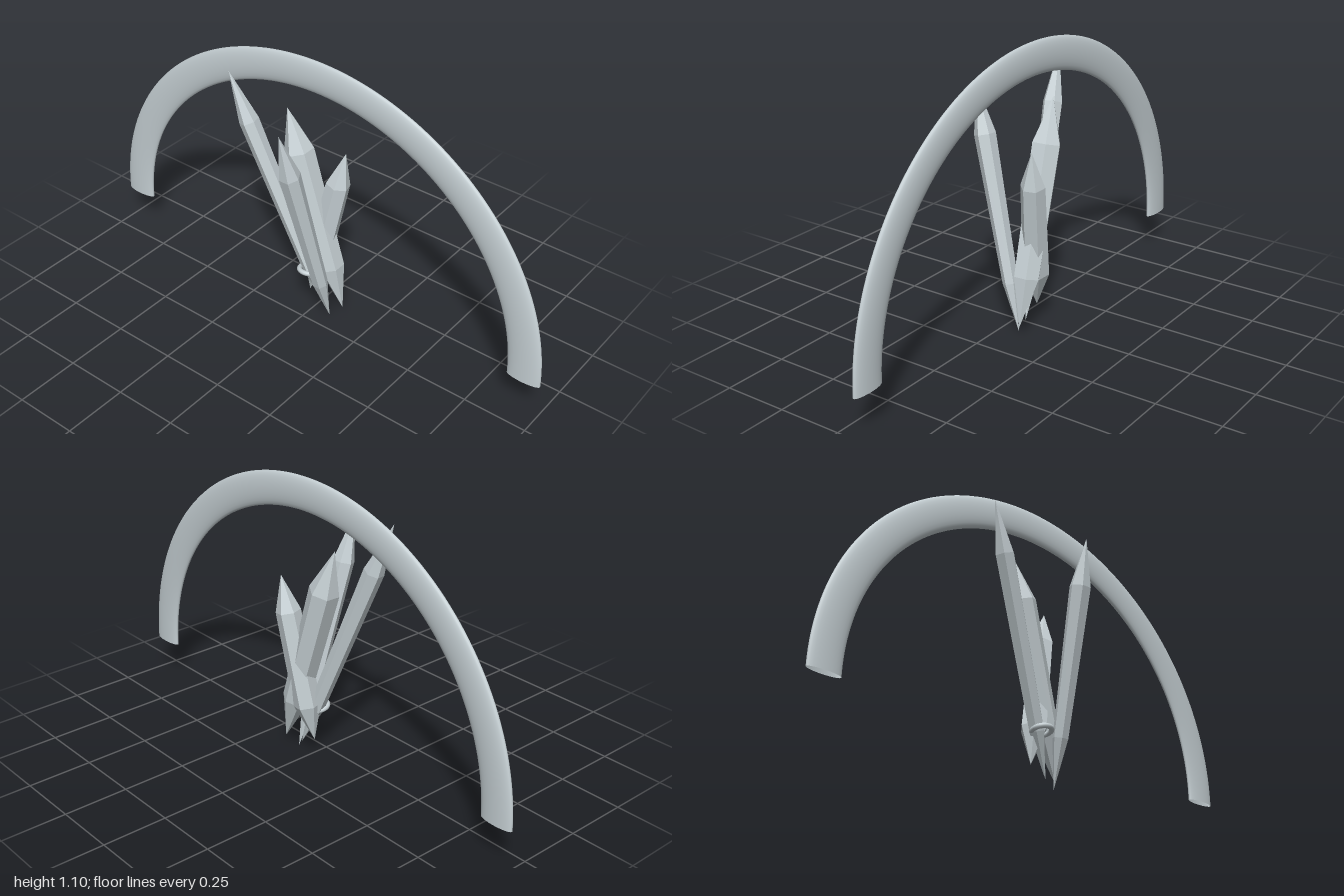
import * as THREE from 'three';

const UP = new THREE.Vector3(0, 1, 0);

// Six-sided crystal from its bottom point to its top point, with two shoulders
function crystal(name, bottom, top, low, high, material, spin) {
  const a = new THREE.Vector3(...bottom);
  const axis = new THREE.Vector3(...top).sub(a);
  const len = axis.length();
  const profile = [
    new THREE.Vector2(0, 0),
    new THREE.Vector2(low.r, low.t * len),
    new THREE.Vector2(high.r, high.t * len),
    new THREE.Vector2(0, len),
  ];
  const geometry = new THREE.LatheGeometry(profile, 6, spin).toNonIndexed();
  geometry.computeVertexNormals();
  const mesh = new THREE.Mesh(geometry, material);
  mesh.name = name;
  mesh.position.copy(a);
  mesh.quaternion.setFromUnitVectors(UP, axis.normalize());
  return mesh;
}

export function createModel() {
  const group = new THREE.Group();
  group.name = 'crystalHeadband';
  const silver = new THREE.MeshStandardMaterial({ color: 0xc6d0d4, side: THREE.DoubleSide });
  silver.name = 'silver';
  const facet = new THREE.MeshStandardMaterial({ color: 0xc6d0d4, flatShading: true });
  facet.name = 'silverFacet';

  // Flattened half hoop
  const hoop = new THREE.TorusGeometry(0.9325, 0.0675, 24, 96, Math.PI);
  hoop.scale(1, 0.95, 0.26);
  const band = new THREE.Mesh(hoop, silver);
  band.name = 'band';
  band.position.set(0, 0.15, -0.077);
  group.add(band);

  // Crystal cluster
  group.add(
    crystal('sideCrystal', [0.05, 0.035, -0.08], [-0.32, 0.995, 0.025],
      { t: 0.17, r: 0.03 }, { t: 0.8, r: 0.038 }, facet, 0.2),
    crystal('frontCrystal', [0.08, 0, -0.07], [0.022, 0.915, 0.16],
      { t: 0.2, r: 0.03 }, { t: 0.8, r: 0.041 }, facet, 0.5),
    crystal('broadCrystal', [0.12, 0.04, -0.1], [-0.13, 0.865, -0.075],
      { t: 0.22, r: 0.052 }, { t: 0.8, r: 0.058 }, facet, 0),
    crystal('backCrystal', [-0.025, 0.075, -0.08], [0.095, 0.725, -0.135],
      { t: 0.22, r: 0.052 }, { t: 0.79, r: 0.047 }, facet, 0.3),
  );

  // Small loop at the base of the cluster
  const loop = new THREE.Mesh(new THREE.TorusGeometry(0.036, 0.01, 10, 32), silver);
  loop.name = 'loop';
  loop.position.set(-0.005, 0.2, -0.045);
  loop.rotation.x = Math.PI / 2 - 0.2;
  group.add(loop);

  return group;
}
